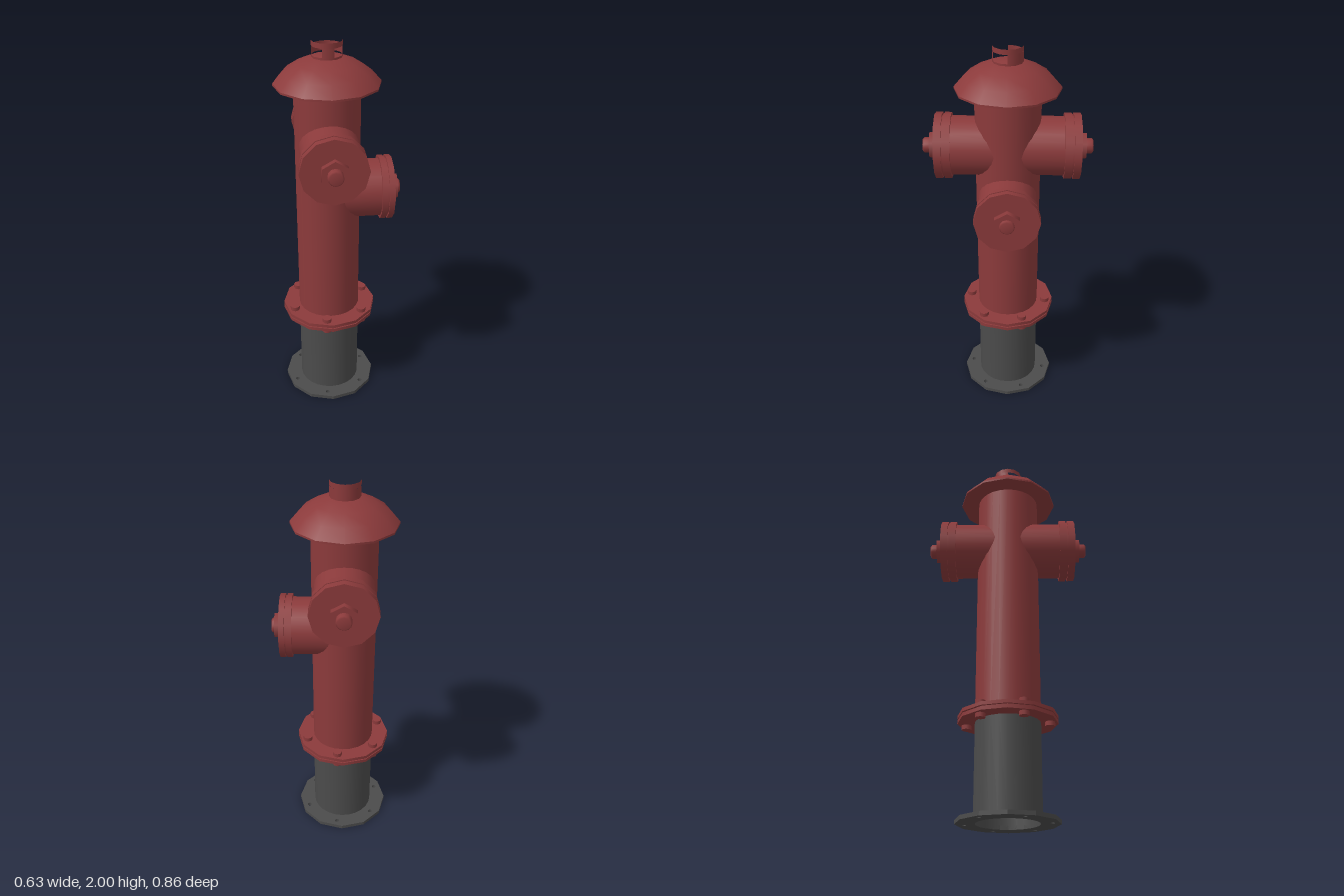
import * as THREE from 'three';

export function createModel() {
  const red = new THREE.MeshStandardMaterial({ color: 0x8b3a3b });
  red.name = 'hydrant red';
  const grey = new THREE.MeshStandardMaterial({ color: 0x4b4b4b });
  grey.name = 'dark iron';

  const model = new THREE.Group();
  model.name = 'fireHydrant';
  const hydrant = new THREE.Group();
  hydrant.name = 'hydrant';
  hydrant.position.x = -0.056;
  model.add(hydrant);

  const add = (parent, name, geometry, material = red) => {
    const mesh = new THREE.Mesh(geometry, material);
    mesh.name = name;
    parent.add(mesh);
    return mesh;
  };
  // Upright cylinder between two heights
  const drum = (parent, name, r, y0, y1, sides, material = red) => {
    const mesh = add(parent, name, new THREE.CylinderGeometry(r, r, y1 - y0, sides), material);
    mesh.position.y = (y0 + y1) / 2;
    return mesh;
  };
  const lathe = (points, sides) =>
    new THREE.LatheGeometry(points.map(([r, y]) => new THREE.Vector2(r, y)), sides);

  const boltAngles = Array.from({ length: 6 }, (_, i) => ((38 + 60 * i) * Math.PI) / 180);
  const boltCircle = 0.21;

  // Base plate: twelve-sided, bored through, with bolt holes
  const plate = new THREE.Shape();
  for (let i = 0; i < 12; i++) {
    const a = (i * Math.PI) / 6;
    plate[i ? 'lineTo' : 'moveTo'](0.252 * Math.cos(a), 0.252 * Math.sin(a));
  }
  plate.closePath();
  const addHole = (x, y, r) => {
    const hole = new THREE.Path();
    hole.absarc(x, y, r, 0, Math.PI * 2, true);
    plate.holes.push(hole);
  };
  addHole(0, 0, 0.155);
  boltAngles.forEach(a => addHole(boltCircle * Math.cos(a), -boltCircle * Math.sin(a), 0.011));
  const plateGeometry = new THREE.ExtrudeGeometry(plate, { depth: 0.02, bevelEnabled: false, curveSegments: 12 });
  plateGeometry.rotateX(-Math.PI / 2);
  add(hydrant, 'basePlate', plateGeometry, grey);

  // Hollow lower pipe: outer and inner walls
  add(hydrant, 'lowerPipe', lathe([[0.165, 0.01], [0.165, 0.49]], 24), grey);
  add(hydrant, 'lowerPipeBore', lathe([[0, 0.485], [0.155, 0.485]].reverse(), 24), grey).scale.y = 1;
  add(hydrant, 'lowerPipeInside', lathe([[0.155, 0.485], [0.155, 0.0]], 24), grey);
  // Ceiling of the bore faces down
  hydrant.getObjectByName('lowerPipeBore').geometry = new THREE.CircleGeometry(0.155, 24)
    .rotateX(Math.PI / 2).translate(0, 0.485, 0);

  // Bolted flange: two plates with a narrow groove between
  drum(hydrant, 'lowerFlange', 0.252, 0.488, 0.506, 12);
  drum(hydrant, 'flangeGasket', 0.24, 0.505, 0.513, 12);
  drum(hydrant, 'upperFlange', 0.252, 0.512, 0.53, 12);
  boltAngles.forEach(a => {
    const bolt = drum(hydrant, 'flangeBolt', 0.025, 0.466, 0.552, 8);
    bolt.position.x = boltCircle * Math.cos(a);
    bolt.position.z = boltCircle * Math.sin(a);
  });

  // Barrel
  drum(hydrant, 'barrel', 0.165, 0.52, 1.8, 24);

  // Bonnet with a flat underside
  add(hydrant, 'bonnet', lathe(
    [[0.262, 1.797], [0.215, 1.85], [0.15, 1.892], [0.075, 1.922], [0, 1.925]], 12));
  add(hydrant, 'bonnetRim', lathe([[0.262, 1.787], [0.262, 1.797]], 12));
  add(hydrant, 'bonnetUnderside', lathe([[0, 1.787], [0.262, 1.787]], 12));

  // Open crown: a top band above a wall with two windows
  const wall = (name, y0, y1, start, length, inward = false) => {
    const g = new THREE.CylinderGeometry(0.075, 0.075, y1 - y0, 12, 1, true, start, length);
    if (inward) {
      g.scale(-0.98, 1, 0.98);
      g.computeVertexNormals();
    }
    add(hydrant, name, g).position.y = (y0 + y1) / 2;
  };
  wall('crownBand', 1.975, 2.0, 0, Math.PI * 2);
  wall('crownFoot', 1.915, 1.932, 0, Math.PI * 2);
  wall('crownFrontPost', 1.93, 1.976, -0.38, 0.76);
  wall('crownBack', 1.93, 1.976, Math.PI / 2, Math.PI);
  wall('crownBackInside', 1.93, 1.976, Math.PI / 2, Math.PI, true);

  // Outlets: pipe, grooved cap, hex nut and knob, measured out from the barrel axis
  const outlet = (name, y, turn, capStart, capEnd, nutEnd, knobEnd) => {
    const g = new THREE.Group();
    g.name = name;
    const mid = (capStart + capEnd) / 2;
    drum(g, 'outletPipe', 0.149, 0, capStart + 0.01, 24);
    drum(g, 'capInnerRing', 0.166, capStart, mid - 0.004, 12);
    drum(g, 'capGroove', 0.156, mid - 0.006, mid + 0.006, 12);
    drum(g, 'capOuterRing', 0.166, mid + 0.004, capEnd, 12);
    drum(g, 'capNut', 0.071, capEnd - 0.005, nutEnd, 6);
    add(g, 'capKnob', lathe([[0.038, nutEnd - 0.005], [0.038, knobEnd - 0.007], [0.031, knobEnd], [0, knobEnd]], 12));
    g.position.y = y;
    g.rotation.set(Math.PI / 2, turn, 0, 'YXZ');
    hydrant.add(g);
  };
  outlet('frontOutlet', 1.487, 0, 0.28, 0.362, 0.392, 0.428);
  outlet('backOutlet', 1.487, Math.PI, 0.28, 0.362, 0.392, 0.428);
  outlet('leftOutlet', 1.225, Math.PI / 2, 0.262, 0.326, 0.356, 0.372);

  return model;
}
